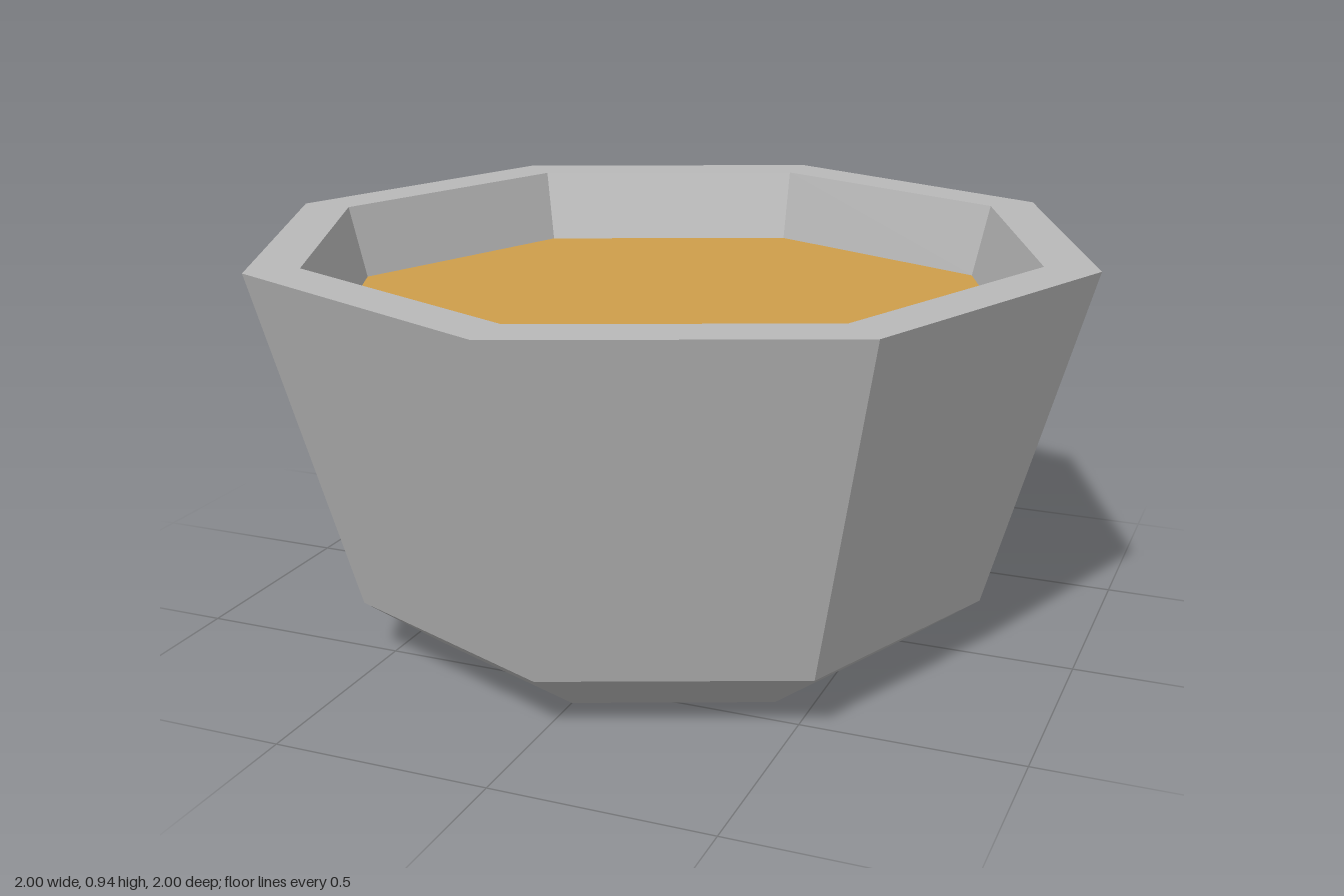
import * as THREE from 'three';

const SIDES = 8;

// Eight-sided ring turned from [radius, height] points
function turned(points) {
  return new THREE.LatheGeometry(points.map(([r, y]) => new THREE.Vector2(r, y)), SIDES);
}

// Hard facets
function faceted(geometry) {
  const flat = geometry.toNonIndexed();
  flat.computeVertexNormals();
  return flat;
}

// Horizontal eight-sided face, looking up (1) or down (-1)
function disc(radius, y, facing) {
  return new THREE.CircleGeometry(radius, SIDES).rotateX(-facing * Math.PI / 2).translate(0, y, 0);
}

export function createModel() {
  const model = new THREE.Group();
  model.name = 'filledBowl';

  const stone = new THREE.MeshStandardMaterial({ color: 0xb8b8b8 });
  stone.name = 'grey';
  const broth = new THREE.MeshStandardMaterial({ color: 0xce9e4b });
  broth.name = 'golden brown';

  const add = (name, geometry, material) => {
    const mesh = new THREE.Mesh(geometry, material);
    mesh.name = name;
    model.add(mesh);
  };

  // Outer wall, flat rim and inner wall down to the filling
  add('bowlWall', faceted(turned([[0.775, 0.135], [1, 0.94], [0.875, 0.94], [0.83, 0.765]])), stone);

  // Smooth bevel under the wall, and the underside
  add('baseBevel', turned([[0.59, 0], [0.775, 0.135]]), stone);
  add('baseUnderside', disc(0.59, 0, -1), stone);

  // Filling surface
  add('filling', disc(0.83, 0.765, 1), broth);

  return model;
}
